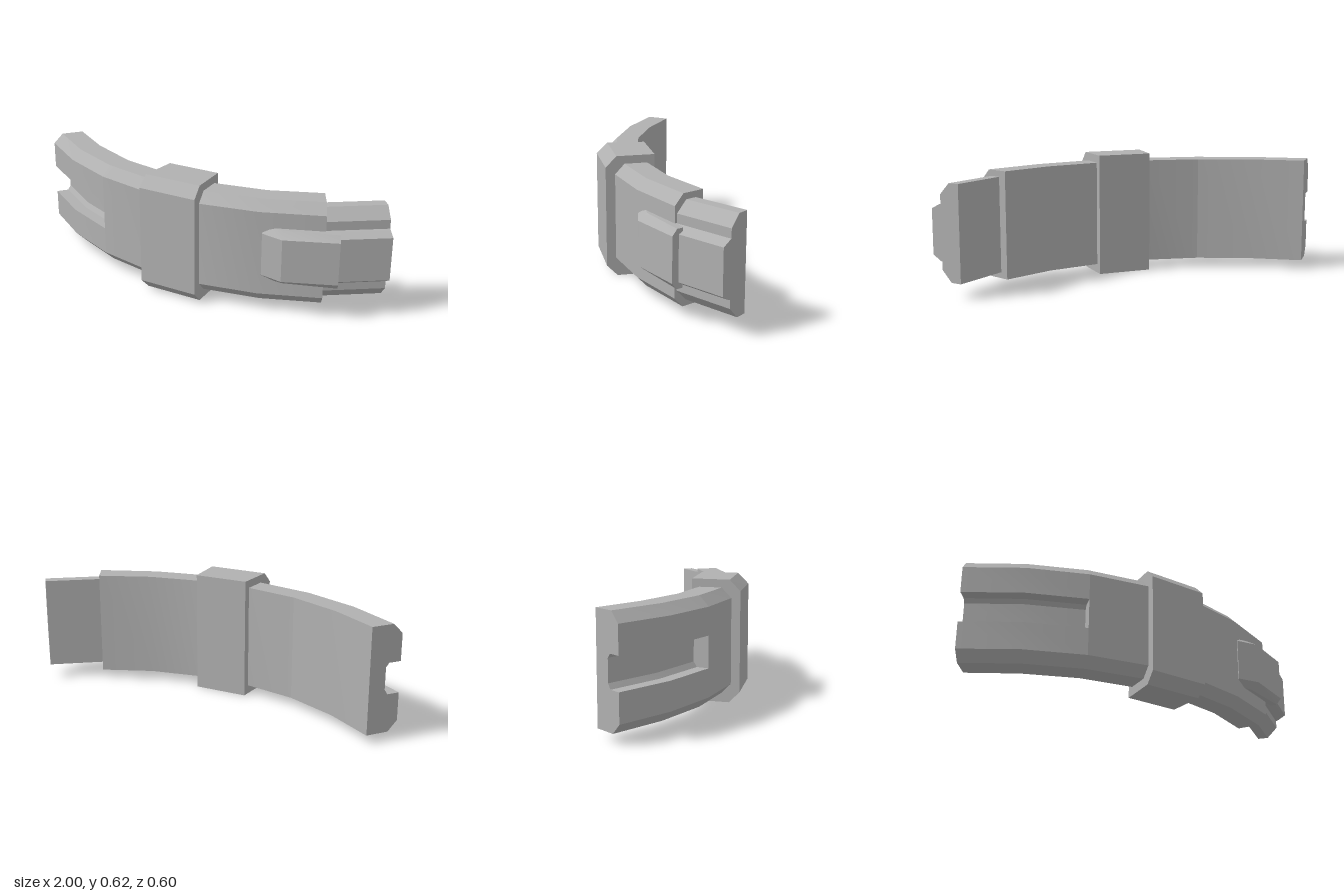
import * as THREE from 'three';
import { toCreasedNormals } from 'three/addons/utils/BufferGeometryUtils.js';

// Sweeps a cross-section along stations running towards +x.
// station: [outerX, outerZ, innerX, innerZ]
// section: [d, y] counter-clockwise, d = 0 on the outer (front) face, 1 on the inner (back) face
function loft(stations, section) {
  const pos = [];
  const rings = stations.map(([ox, oz, ix, iz]) =>
    section.map(([d, y]) => [ox + (ix - ox) * d, y, oz + (iz - oz) * d]));
  const tri = (a, b, c) => pos.push(...a, ...b, ...c);
  const n = section.length;
  for (let k = 0; k + 1 < rings.length; k++) {
    const r = rings[k], s = rings[k + 1];
    for (let j = 0; j < n; j++) {
      const m = (j + 1) % n;
      tri(r[j], r[m], s[m]);
      tri(r[j], s[m], s[j]);
    }
  }
  // end caps
  const contour = section.map(([d, y]) => new THREE.Vector2(d, y));
  const first = rings[0], last = rings[rings.length - 1];
  for (const [a, b, c] of THREE.ShapeUtils.triangulateShape(contour, [])) {
    tri(last[a], last[b], last[c]);
    tri(first[a], first[c], first[b]);
  }
  const g = new THREE.BufferGeometry();
  g.setAttribute('position', new THREE.Float32BufferAttribute(pos, 3));
  return toCreasedNormals(g, 0.45);
}

// Block with both front edges chamfered by c (fraction of depth) and h (height)
const chamfered = (y0, y1, c, h) =>
  [[c, y0], [1, y0], [1, y1], [c, y1], [0, y1 - h], [0, y0 + h]];

export function createModel() {
  const model = new THREE.Group();
  const grey = new THREE.MeshStandardMaterial({ color: 0xb0b0b0 });
  grey.name = 'grey';
  const add = (name, stations, section) => {
    const mesh = new THREE.Mesh(loft(stations, section), grey);
    mesh.name = name;
    model.add(mesh);
  };

  // curved band
  const band = [
    [-1.0, -0.01, -0.91, -0.145],
    [-0.73, 0.13, -0.67, -0.025],
    [-0.435, 0.22, -0.4, 0.06],
    [-0.13, 0.25, -0.13, 0.085],
    [0.18, 0.215, 0.14, 0.06],
    [0.46, 0.13, 0.41, -0.02],
    [0.74, -0.015, 0.65, -0.15],
  ];
  const plain = chamfered(0.045, 0.575, 0.3, 0.05);

  // slot cut into the front of the band's right end
  const slotted = [
    ...plain.slice(0, 5),
    [0, 0.39], [0.38, 0.39], [0.48, 0.37], [0.48, 0.26], [0.38, 0.235], [0, 0.235],
    plain[5],
  ];
  add('slottedBand', band.slice(0, 3), slotted);
  add('band', band.slice(2), plain);

  // sleeve around the middle
  add('collar',
    [[-0.13, 0.295, -0.13, 0.05], [0.18, 0.262, 0.144, 0.02]],
    chamfered(0, 0.615, 0.22, 0.055));

  // tongue with a raised centre rail, emerging from the band's left end
  add('tongue',
    [[0.745, 0.034, 0.635, -0.081], [1.0, -0.19, 0.888, -0.305]],
    [[0.66, 0.075], [1, 0.075], [1, 0.545], [0.66, 0.545], [0.33, 0.49], [0.33, 0.445],
      [0.25, 0.44], [0, 0.42], [0, 0.2], [0.25, 0.175], [0.33, 0.17], [0.33, 0.13]]);

  // ramped block on the front, over the tongue's root
  add('latchBlock',
    [[0.476, 0.126, 0.45, 0.06], [0.593, 0.134, 0.55, 0.04], [0.83, 0.005, 0.8, -0.045]],
    chamfered(0.17, 0.447, 0.45, 0.03));

  return model;
}
